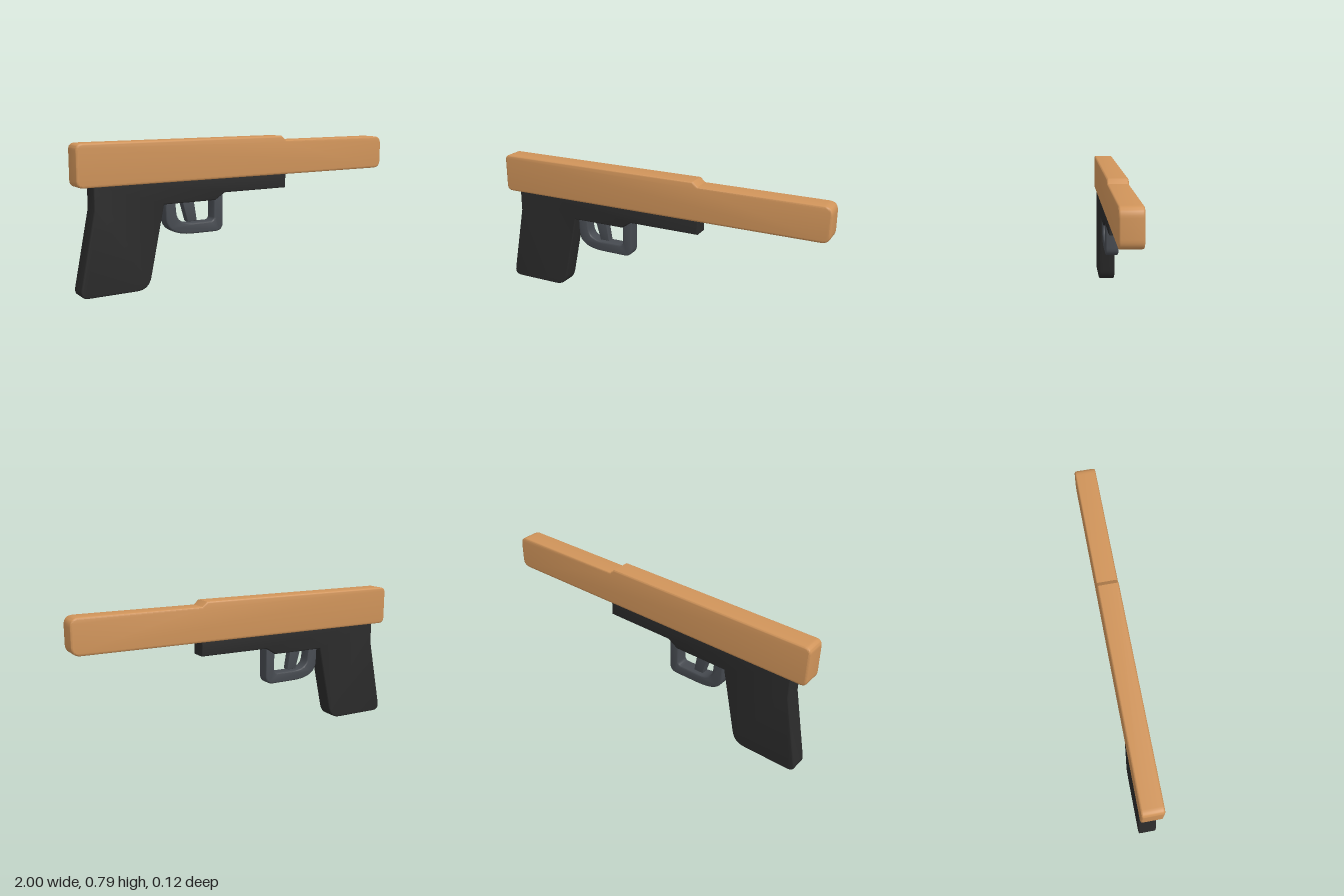
import * as THREE from 'three';
import { toCreasedNormals } from 'three/addons/utils/BufferGeometryUtils.js';

// Closed outline from [x, y, cornerRadius] points
function roundedOutline(points) {
  const shape = new THREE.Shape();
  const n = points.length;
  points.forEach(([x, y, r = 0], i) => {
    const corner = new THREE.Vector2(x, y);
    const towards = ([px, py]) => {
      const d = new THREE.Vector2(px, py).sub(corner);
      return d.setLength(Math.min(r, d.length() * 0.5)).add(corner);
    };
    const a = towards(points[(i + n - 1) % n]);
    const b = towards(points[(i + 1) % n]);
    if (i === 0) shape.moveTo(a.x, a.y);
    else shape.lineTo(a.x, a.y);
    if (r > 0) shape.quadraticCurveTo(x, y, b.x, b.y);
  });
  shape.closePath();
  return shape;
}

// Side profile extruded about z = 0, with softened edges
function plate(name, points, halfWidth, bevel, material) {
  const geometry = new THREE.ExtrudeGeometry(roundedOutline(points), {
    depth: 2 * (halfWidth - bevel),
    curveSegments: 8,
    bevelEnabled: true,
    bevelSize: bevel,
    bevelThickness: bevel,
    bevelOffset: -bevel,
    bevelSegments: 3,
  });
  geometry.translate(0, 0, bevel - halfWidth);
  const mesh = new THREE.Mesh(toCreasedNormals(geometry, 0.6), material);
  mesh.name = name;
  return mesh;
}

export function createModel() {
  const tan = new THREE.MeshStandardMaterial({ color: 0xd0945a });
  tan.name = 'tan';
  const black = new THREE.MeshStandardMaterial({ color: 0x2b2b2b });
  black.name = 'black';
  const grey = new THREE.MeshStandardMaterial({ color: 0x464a50 });
  grey.name = 'dark grey';

  const model = new THREE.Group();
  model.name = 'toyPistol';

  // Long upper body with a step down towards the front
  model.add(plate('upperBody', [
    [-1, 0.567, 0.035], [1, 0.567, 0.05], [1, 0.764, 0.05],
    [0.268, 0.764], [0.238, 0.79], [-1, 0.79, 0.035],
  ], 0.059, 0.01, tan));

  // Lower frame and slanted grip in one piece
  model.add(plate('frameAndGrip', [
    [-0.91, 0.59], [-0.91, 0.45], [-1, 0, 0.05], [-0.615, 0, 0.07],
    [-0.52, 0.45], [-0.205, 0.45], [-0.145, 0.488], [0.27, 0.488], [0.27, 0.59],
  ], 0.05, 0.007, black));

  // U-shaped guard, open at the top where it meets the frame
  model.add(plate('triggerGuard', [
    [-0.506, 0.465], [-0.5, 0.275, 0.16], [-0.15, 0.272, 0.05], [-0.15, 0.485],
    [-0.207, 0.465], [-0.207, 0.333, 0.025], [-0.435, 0.333, 0.09], [-0.447, 0.465],
  ], 0.038, 0.008, grey));

  // Trigger
  model.add(plate('trigger', [
    [-0.4, 0.465], [-0.365, 0.34], [-0.308, 0.34], [-0.328, 0.465],
  ], 0.022, 0.004, grey));

  return model;
}
